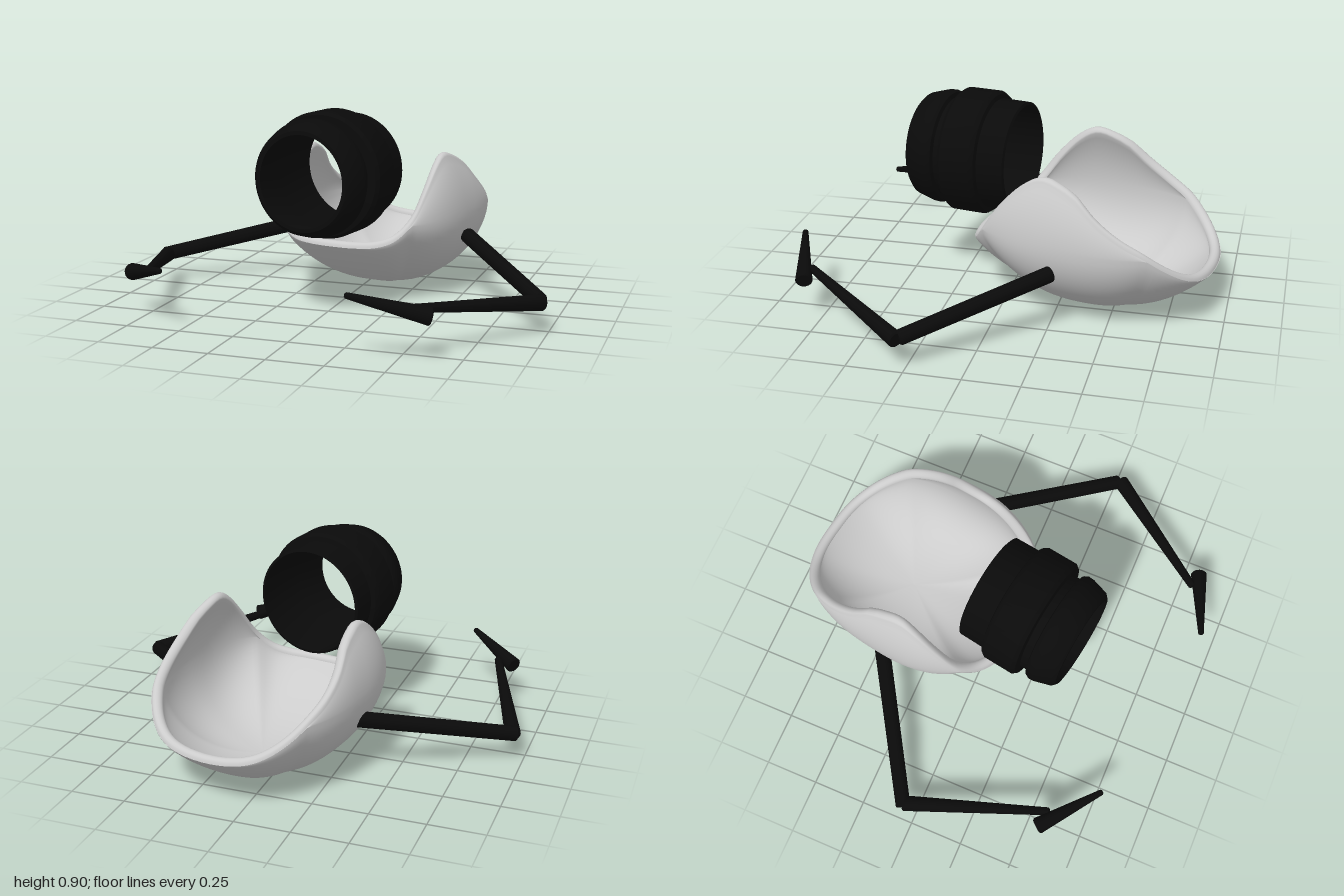
import * as THREE from 'three';
import { toCreasedNormals } from 'three/addons/utils/BufferGeometryUtils.js';

const YAW = -0.166; // the body is turned slightly to its right

// Rim height every 11.25 degrees, from the front round to the back
const rimCurve = new THREE.SplineCurve(
  [0.30, 0.302, 0.31, 0.34, 0.415, 0.535, 0.63, 0.677, 0.645, 0.54, 0.465, 0.41, 0.35, 0.30, 0.265, 0.248, 0.24]
    .map((y, i) => new THREE.Vector2(i, y)));

// Section of the shell at azimuth a: outer skin, rounded rim, inner skin
function shellSection(a) {
  const sn = Math.sin(a), cs = Math.cos(a);
  const pow = (v) => Math.sign(v) * Math.pow(Math.abs(v), 0.8);
  const edge = new THREE.Vector2(0.455 * pow(sn), (cs > 0 ? 0.535 : 0.57) * pow(cs));
  const R = edge.length();
  const turn = Math.acos(Math.min(1, Math.max(-1, cs))) / Math.PI;
  const rim = rimCurve.getPoint(turn).y;
  const h = Math.min(rim - 0.025, 0.38); // height of the widest point
  const inset = 0.075 * Math.pow((rim - h) / 0.3, 1.4);
  const side = sn * sn, th = 0.05;
  const bulge = (s) => h * (side * (1 - Math.sqrt(Math.max(0, 1 - s * s))) + (1 - side) * Math.pow(s, 2.1));
  const at = (s, shrink, y) => {
    const k = s * (1 - shrink / R);
    return new THREE.Vector3(edge.x * k, y, edge.y * k - 0.09 * (1 - s));
  };
  const outer = [], inner = [], cap = [];
  for (let i = 0; i <= 20; i++) {
    const s = Math.sin((i / 20) * Math.PI / 2);
    outer.push(at(s, 0, bulge(s)));
    inner.push(at(s, th * s, bulge(s) + th * (1 - s * s)));
  }
  const top = rim - th / 2;
  for (let i = 1; i <= 10; i++) {
    const t = i / 10, y = h + Math.max(0, top - h) * t;
    outer.push(at(1, inset * t * t, y));
    inner.push(at(1, inset * t * t + th, y));
  }
  for (let i = 1; i < 8; i++) {
    const b = (i / 8) * Math.PI;
    cap.push(at(1, inset + th / 2 * (1 - Math.cos(b)), Math.max(h, top) + th / 2 * Math.sin(b)));
  }
  return [...outer, ...cap, ...inner.reverse()];
}

function shellGeometry() {
  const N = 112, pos = [], idx = [];
  let M = 0;
  for (let i = 0; i < N; i++) {
    const section = shellSection((i / N) * Math.PI * 2);
    M = section.length;
    section.forEach((p) => pos.push(p.x, p.y, p.z));
  }
  for (let i = 0; i < N; i++) {
    for (let j = 0; j < M - 1; j++) {
      const a = i * M + j, b = ((i + 1) % N) * M + j;
      if (j > 0) idx.push(a, b, a + 1);
      if (j < M - 2) idx.push(b, b + 1, a + 1);
    }
  }
  const g = new THREE.BufferGeometry();
  g.setAttribute('position', new THREE.Float32BufferAttribute(pos, 3));
  g.setIndex(idx);
  g.computeVertexNormals();
  return g;
}

// Tapered rod with slightly softened ends between two points
function rod(name, from, to, r0, r1, material) {
  const a = new THREE.Vector3(...from), b = new THREE.Vector3(...to);
  const L = a.distanceTo(b), e = 0.006;
  const profile = [[0, 0], [r0 - e, 0], [r0, e], [r1, L - e], [r1 - e, L], [0, L]]
    .map(([r, y]) => new THREE.Vector2(r, y));
  const mesh = new THREE.Mesh(toCreasedNormals(new THREE.LatheGeometry(profile, 20), 0.6), material);
  mesh.name = name;
  mesh.position.copy(a);
  mesh.quaternion.setFromUnitVectors(new THREE.Vector3(0, 1, 0), b.sub(a).normalize());
  return mesh;
}

export function createModel() {
  const group = new THREE.Group();
  const grey = new THREE.MeshStandardMaterial({ color: 0xcccccc, side: THREE.DoubleSide });
  const black = new THREE.MeshStandardMaterial({ color: 0x0a0a0a, side: THREE.DoubleSide });

  // Open scoop-shaped body
  const shell = new THREE.Mesh(shellGeometry(), grey);
  shell.name = 'shell';
  shell.position.set(0.07, 0, -0.38);
  shell.rotation.y = YAW;
  group.add(shell);

  // Hollow stepped barrel: outside from back to front, then back through the bore
  const profile = [
    [0.238, 0], [0.25, 0.006], [0.252, 0.13], [0.272, 0.136], [0.285, 0.155], [0.285, 0.295], [0.272, 0.312],
    [0.235, 0.316], [0.235, 0.35], [0.255, 0.356], [0.264, 0.375], [0.262, 0.4], [0.24, 0.475], [0.222, 0.492],
    [0.205, 0.492], [0.203, 0.42], [0.222, 0.3], [0.238, 0.15], [0.238, 0],
  ].map(([r, y]) => new THREE.Vector2(r, y));
  const lathe = new THREE.LatheGeometry(profile, 64);
  lathe.rotateX(Math.PI / 2);
  const barrel = new THREE.Mesh(toCreasedNormals(lathe, 0.6), black);
  barrel.name = 'barrel';
  barrel.position.set(0.025, 0.62, -0.04);
  barrel.rotation.y = YAW;
  group.add(barrel);

  // Two jointed arms, each in its own pose
  const arms = [
    { name: 'leftArm', upper: [[0.51, 0.28, -0.27], [0.965, 0.14, 0.275]],
      fore: [[0.975, 0.135, 0.28], [0.55, 0.21, 0.81]], hand: [[0.635, 0.185, 0.815], [0.31, 0.275, 0.93]] },
    { name: 'rightArm', upper: [[-0.34, 0.265, -0.43], [-0.965, 0.125, -0.05]],
      fore: [[-0.95, 0.125, -0.06], [-0.735, 0.2, 0.585]], hand: [[-0.82, 0.19, 0.555], [-0.57, 0.265, 0.775]] },
  ];
  for (const { name, upper, fore, hand } of arms) {
    const arm = new THREE.Group();
    arm.name = name;
    arm.add(
      rod('upperArm', ...upper, 0.036, 0.034, black),
      rod('forearm', ...fore, 0.036, 0.018, black),
      rod('hand', ...hand, 0.038, 0.013, black),
    );
    group.add(arm);
  }
  return group;
}
